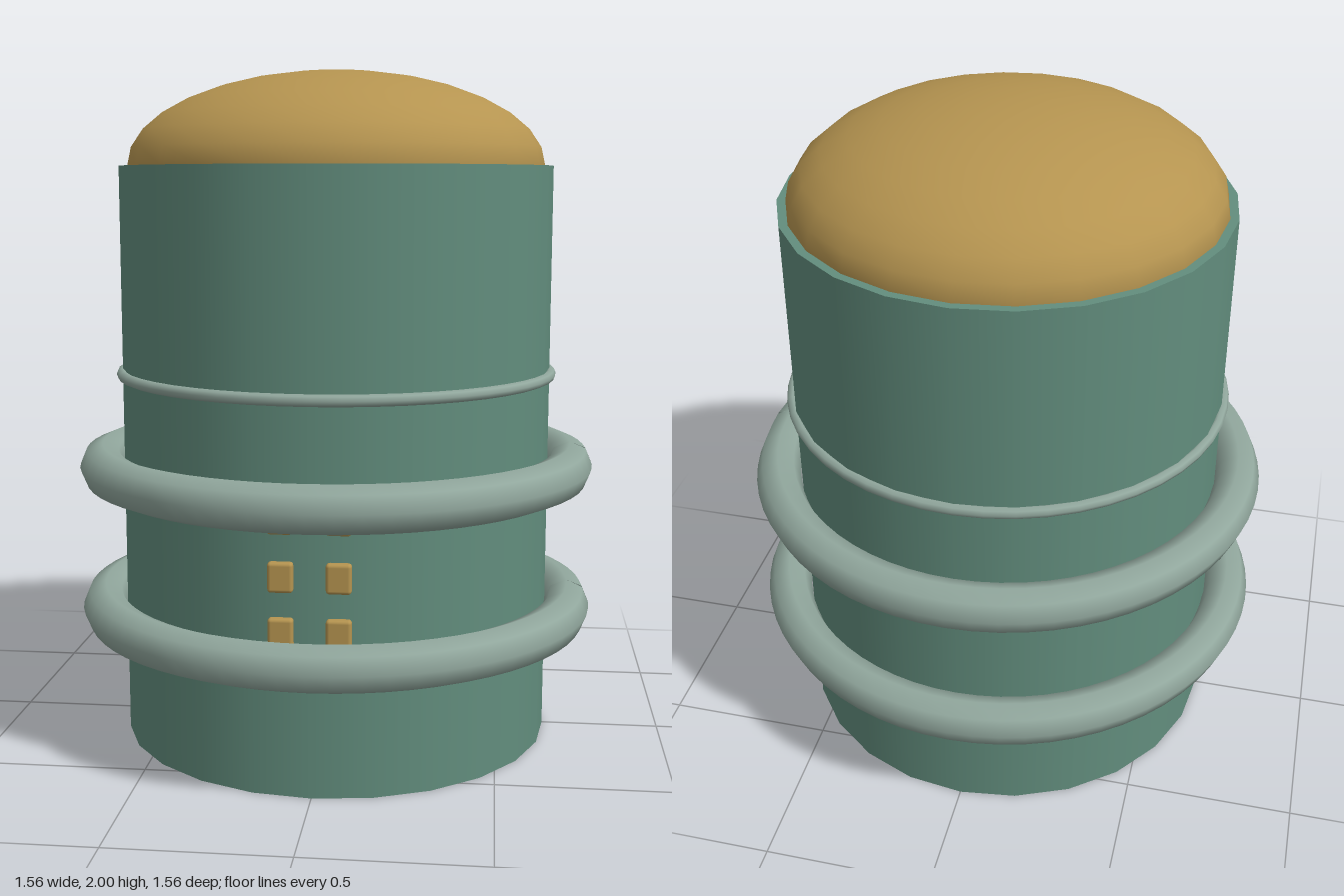
import * as THREE from 'three';
import { RoundedBoxGeometry } from 'three/addons/geometries/RoundedBoxGeometry.js';

export function createModel() {
  const material = (name, color) => new THREE.MeshStandardMaterial({ name, color });
  const teal = material('teal', 0x628d7d);
  const ochre = material('ochre', 0xb59450);
  const paleGreen = material('pale grey green', 0x91a79d);

  const model = new THREE.Group();
  model.name = 'bandedTower';
  const add = (name, geometry, mat, x = 0, y = 0, z = 0) => {
    const mesh = new THREE.Mesh(geometry, mat);
    mesh.name = name;
    mesh.position.set(x, y, z);
    model.add(mesh);
    return mesh;
  };

  // Cylindrical body with flat rim
  add('body', new THREE.CylinderGeometry(0.647, 0.647, 1.72, 24), teal, 0, 0.86);

  // Flattened dome set inside the rim
  const dome = add('dome',
    new THREE.SphereGeometry(0.622, 24, 8, 0, Math.PI * 2, 0, Math.PI / 2), ochre, 0, 1.72);
  dome.scale.y = 0.28 / 0.622;

  // Bent tube rings whose ends meet at a slim notch on the left side
  const bentRing = (radius, tube) => {
    const points = [];
    for (let i = 0; i <= 32; i++) {
      const a = (i / 32) * Math.PI * 2;
      points.push(new THREE.Vector3(Math.cos(a) * radius, 0, Math.sin(a) * radius));
    }
    return new THREE.TubeGeometry(new THREE.CatmullRomCurve3(points), 64, tube, 8, false);
  };
  paleGreen.side = THREE.DoubleSide;
  add('lowerRing', bentRing(0.713, 0.068), paleGreen, 0, 0.393);
  add('upperRing', bentRing(0.713, 0.068), paleGreen, 0, 0.826);

  // Thin trim band
  const band = add('trimBand', new THREE.TorusGeometry(0.649, 0.017, 8, 48), paleGreen, 0, 1.104);
  band.rotation.x = Math.PI / 2;

  // Two columns of small front buttons
  for (const x of [-0.081, 0.077]) {
    for (const y of [0.47, 0.625, 0.785]) {
      add('button', new RoundedBoxGeometry(0.07, 0.084, 0.03, 2, 0.01), ochre, x, y, 0.652);
    }
  }
  return model;
}
